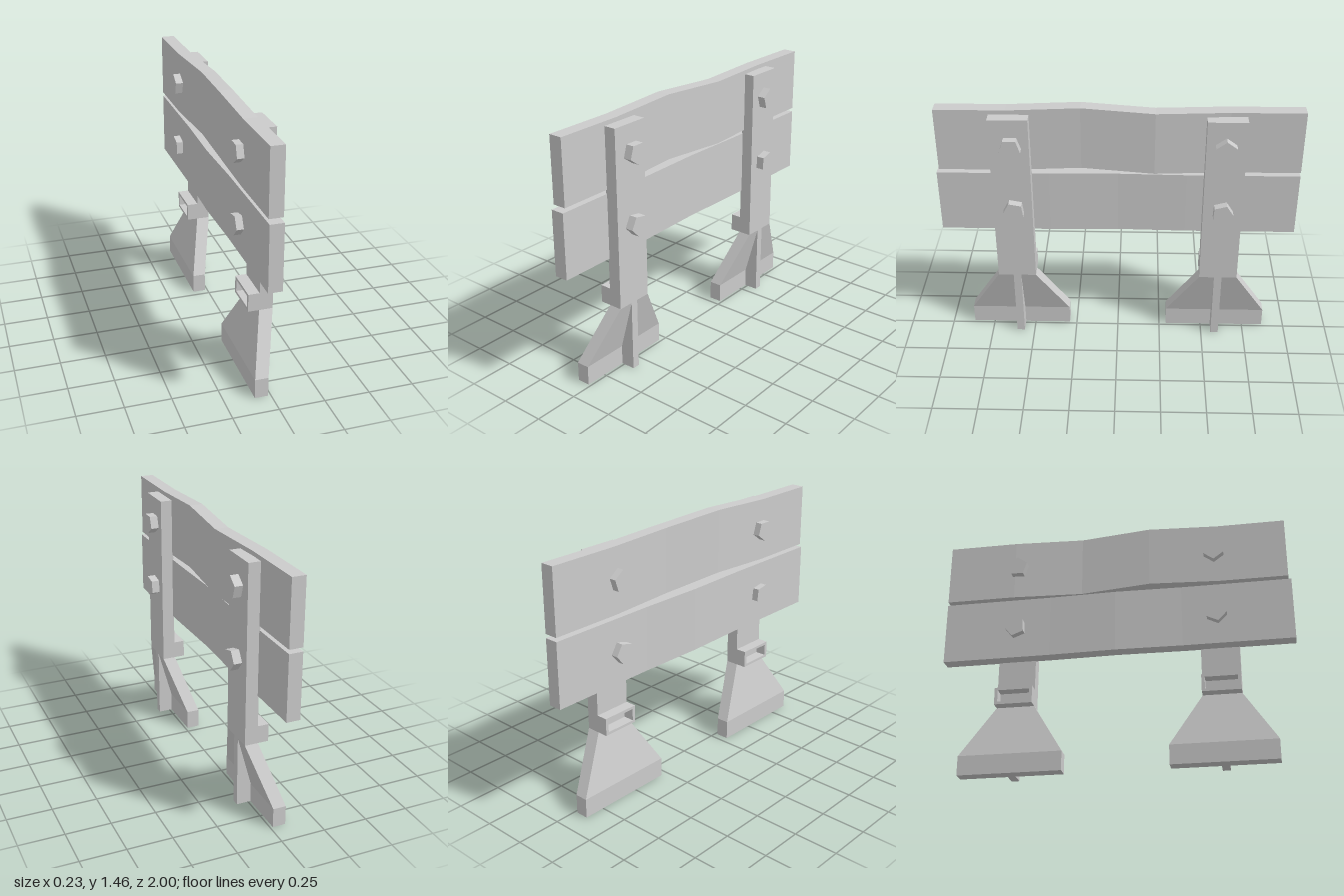
import * as THREE from 'three';

const material = new THREE.MeshStandardMaterial({ color: 0xcccccc, flatShading: true });

function add(parent, name, geometry, x = 0, y = 0, z = 0) {
  const mesh = new THREE.Mesh(geometry, material);
  mesh.name = name;
  mesh.position.set(x, y, z);
  parent.add(mesh);
  return mesh;
}

// Board running along z; stations are [z, xShift, yShift] from back to front
function plankGeometry(bottom, top, stations) {
  const n = stations.length - 1;
  const g = new THREE.BoxGeometry(0.076, top - bottom, n, 1, 1, n);
  const p = g.attributes.position;
  for (let i = 0; i < p.count; i++) {
    const [z, dx, dy] = stations[Math.round(p.getZ(i) + n / 2)];
    p.setXYZ(i, p.getX(i) - 0.038 + dx, p.getY(i) + (bottom + top) / 2 + dy, z);
  }
  return g;
}

// Flared foot: three levels of [y, xMin, xMax, halfWidth]
function footGeometry() {
  const levels = [
    [0, -0.088, -0.015, 0.29],
    [0.11, -0.088, -0.015, 0.29],
    [0.41, -0.008, 0.067, 0.108],
  ];
  const g = new THREE.BoxGeometry(2, 2, 2, 1, 2, 1);
  const p = g.attributes.position;
  for (let i = 0; i < p.count; i++) {
    const [y, x0, x1, w] = levels[Math.round(p.getY(i) + 1)];
    p.setXYZ(i, p.getX(i) < 0 ? x0 : x1, y, p.getZ(i) * w);
  }
  return g;
}

// Upright rib that fills the space under the sloping foot
function ribGeometry() {
  const shape = new THREE.Shape([
    new THREE.Vector2(-0.02, 0),
    new THREE.Vector2(0.067, 0),
    new THREE.Vector2(0.067, 0.41),
    new THREE.Vector2(-0.02, 0.11),
  ]);
  return new THREE.ExtrudeGeometry(shape, { depth: 0.044, bevelEnabled: false }).translate(0, 0, -0.022);
}

// Open rectangular socket behind the post
function socketGeometry() {
  const rect = (P, w, h) => new P([
    new THREE.Vector2(-w, -h), new THREE.Vector2(w, -h),
    new THREE.Vector2(w, h), new THREE.Vector2(-w, h),
  ]);
  const shape = rect(THREE.Shape, 0.108, 0.05);
  shape.holes.push(rect(THREE.Path, 0.09, 0.034));
  return new THREE.ExtrudeGeometry(shape, { depth: 0.068, bevelEnabled: false }).rotateY(-Math.PI / 2);
}

export function createModel() {
  const model = new THREE.Group();
  model.name = 'roadsideBarrier';

  // Warped boards
  add(model, 'upperPlank', plankGeometry(1.075, 1.437, [
    [-1, 0, 0], [-0.6, 0, 0], [-0.2, 0.025, 0], [0.2, 0, 0.018], [0.6, 0, 0], [0.985, 0, 0],
  ]));
  add(model, 'lowerPlank', plankGeometry(0.688, 1.053, [
    [-1, 0, 0], [-0.38, 0, 0], [0, -0.009, 0], [0.38, 0, 0], [1, 0, 0],
  ]));

  // Two posts with feet, ribs, sockets and bolts; spins are [upper, lower]
  const supports = [
    { name: 'frontSupport', z: 0.582, boltZ: 0.573, spins: [-Math.PI / 2, -1.75] },
    { name: 'backSupport', z: -0.58, boltZ: -0.578, spins: [Math.PI / 2, 1.2] },
  ];
  for (const s of supports) {
    const support = new THREE.Group();
    support.name = s.name;
    support.position.z = s.z;
    model.add(support);
    add(support, 'post', new THREE.BoxGeometry(0.073, 1.003, 0.216), 0.0305, 0.9115);
    add(support, 'foot', footGeometry());
    add(support, 'rib', ribGeometry());
    add(support, 'socket', socketGeometry(), 0, 0.46);
    [1.261, 0.867].forEach((y, i) => {
      // Five-sided bolt through post and board, with one corner turned to its spin angle
      const bolt = new THREE.CylinderGeometry(0.06, 0.06, 0.228, 5)
        .rotateX(Math.PI / 2)
        .rotateZ(Math.PI / 2 + s.spins[i])
        .rotateY(Math.PI / 2);
      add(support, 'bolt', bolt, -0.001, y, s.boltZ - s.z);
    });
  }
  return model;
}
